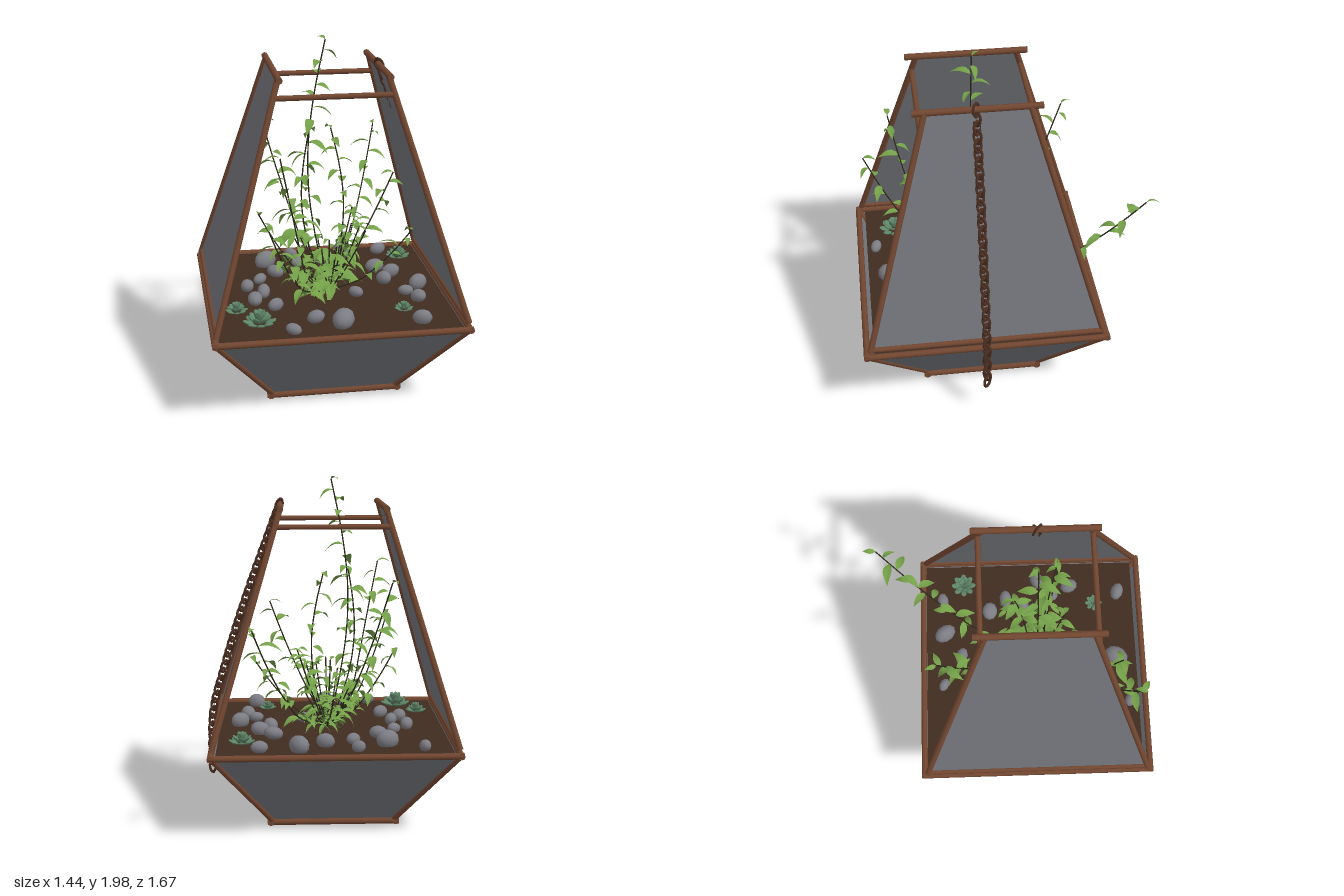
import * as THREE from 'three';
import { mergeGeometries } from 'three/addons/utils/BufferGeometryUtils.js';

const V = (x, y, z) => new THREE.Vector3(x, y, z);
const UP = V(0, 1, 0);

function material(name, color, side = THREE.FrontSide) {
  const m = new THREE.MeshStandardMaterial({ color, side });
  m.name = name;
  return m;
}

function seeded(seed) {
  return () => {
    seed = (seed * 16807) % 2147483647;
    return seed / 2147483647;
  };
}

// Copy of a geometry moved, turned (yaw, pitch, roll) and scaled
function placed(geo, pos, yaw, pitch, roll, scale) {
  const q = new THREE.Quaternion().setFromEuler(new THREE.Euler(pitch, yaw, roll, 'YXZ'));
  return geo.clone().applyMatrix4(new THREE.Matrix4().compose(pos, q, scale));
}

// Curved pointed leaf of unit length, growing towards -z and drooping
function leafGeometry() {
  const g = new THREE.PlaneGeometry(1, 1, 2, 6);
  const p = g.attributes.position;
  for (let i = 0; i < p.count; i++) {
    const u = p.getX(i) * 2, t = p.getY(i) + 0.5;
    const w = 0.21 * Math.sin(Math.PI * Math.pow(t, 0.8));
    p.setXYZ(i, u * w, 0.45 * t - 0.75 * t * t + 0.06 * Math.abs(u) * Math.sin(Math.PI * t), -t);
  }
  g.computeVertexNormals();
  return g;
}

// Vine from the shared root to a tip; a low spread runs outwards before it climbs
function vineCurve(x, y, z, spread, sway) {
  const points = [];
  for (let i = 0; i <= 5; i++) {
    const t = i / 5, out = Math.pow(t, spread);
    points.push(V(x * out + sway * Math.sin(Math.PI * t), 0.5 + (y - 0.5) * t, 0.15 + (z - 0.15) * out));
  }
  return new THREE.CatmullRomCurve3(points);
}

export function createModel() {
  const rnd = seeded(4217);
  const range = (a, b) => a + (b - a) * rnd();
  const mats = {
    frame: material('copper brown frame', 0x714630),
    glass: material('smoky grey panel', 0x727379, THREE.DoubleSide),
    soil: material('dark soil', 0x402c21),
    stone: material('grey stone', 0x7c7c84),
    chain: material('dark bronze chain', 0x4a2d20),
    leaf: material('leaf green', 0x74a048, THREE.DoubleSide),
    stem: material('dark stem', 0x2c2a1c),
    succulent: material('blue green succulent', 0x5f8769),
  };
  const model = new THREE.Group();
  model.name = 'hangingTerrarium';

  const add = (parent, name, geo, mat) => {
    const mesh = new THREE.Mesh(geo, mat);
    mesh.name = name;
    parent.add(mesh);
    return mesh;
  };

  // Planter body, slightly off centre because of the chain and trailing vine
  const body = new THREE.Group();
  body.name = 'planterBody';
  body.position.set(-0.02, 0, 0.14);
  model.add(body);

  const bar = (name, a, b, r = 0.017) => {
    const mesh = add(body, name, new THREE.CylinderGeometry(r, r, a.distanceTo(b), 10), mats.frame);
    mesh.position.copy(a).lerp(b, 0.5);
    mesh.quaternion.setFromUnitVectors(UP, b.clone().sub(a).normalize());
  };
  const panel = (name, corners) => {
    const g = new THREE.BufferGeometry().setFromPoints(corners);
    g.setIndex([0, 1, 2, 0, 2, 3]);
    g.computeVertexNormals();
    add(body, name, g, mats.glass);
  };

  // Square rings of bars at the base and the rim
  const ring = (name, y, hx, hz, over, r) => {
    for (const s of [-1, 1]) {
      bar(name, V(-hx - over, y, s * hz), V(hx + over, y, s * hz), r);
      bar(name, V(s * hx, y, -hz - over), V(s * hx, y, hz + over), r);
    }
  };
  ring('baseBar', 0.022, 0.36, 0.33, 0.02, 0.02);
  ring('rimBar', 0.5, 0.685, 0.675, 0.015, 0.018);

  for (const s of [-1, 1]) {
    for (const sz of [-1, 1]) {
      bar('lowerCornerBar', V(s * 0.35, 0.03, sz * 0.33), V(s * 0.675, 0.49, sz * 0.665));
      bar('upperCornerBar', V(s * 0.68, 0.53, sz * 0.655), V(s * 0.295, 1.82, sz * 0.28));
    }
    // Sills, rails and the sloping panels; the front and back stay open above the rim
    bar('sillBar', V(s * 0.675, 0.545, -0.66), V(s * 0.675, 0.545, 0.66), 0.016);
    bar('topRail', V(s * 0.295, 1.82, -0.345), V(s * 0.295, 1.82, 0.345), 0.018);
    bar('crossRail', V(-0.33, 1.72, s * 0.308), V(0.33, 1.72, s * 0.308), 0.015);
    panel('upperSidePanel', [V(s * 0.675, 0.545, -0.65), V(s * 0.675, 0.545, 0.65),
      V(s * 0.297, 1.81, 0.28), V(s * 0.297, 1.81, -0.28)]);
    panel('lowerSidePanel', [V(s * 0.355, 0.03, -0.33), V(s * 0.355, 0.03, 0.33),
      V(s * 0.68, 0.49, 0.67), V(s * 0.68, 0.49, -0.67)]);
    panel('lowerEndPanel', [V(-0.355, 0.03, s * 0.33), V(0.355, 0.03, s * 0.33),
      V(0.68, 0.49, s * 0.67), V(-0.68, 0.49, s * 0.67)]);
  }
  panel('basePanel', [V(-0.36, 0.02, -0.33), V(0.36, 0.02, -0.33), V(0.36, 0.02, 0.33), V(-0.36, 0.02, 0.33)]);
  const soil = add(body, 'soil', new THREE.BoxGeometry(1.32, 0.03, 1.29), mats.soil);
  soil.position.set(0, 0.485, -0.01);

  // Pebbles: a few placed by hand (x, z, size), then a row along each side
  const pebbles = [
    [-0.52, -0.41, 0.045], [-0.15, -0.41, 0.043], [-0.32, -0.3, 0.07], [-0.13, -0.25, 0.045],
    [0.03, -0.3, 0.055], [0.18, -0.4, 0.07], [0.4, -0.41, 0.05], [0.14, 0.26, 0.045],
    [0, 0.65, 0.075], [-0.14, 0.58, 0.05], [-0.28, 0.72, 0.045], [0.43, 0.68, 0.055],
  ];
  for (const side of [-1, 1]) {
    for (let i = 0; i < 6; i++) {
      pebbles.push([side * range(0.27, 0.56), -0.12 + i * 0.1, range(0.042, 0.06)]);
    }
  }
  const ball = new THREE.SphereGeometry(1, 10, 7);
  add(model, 'pebbles', mergeGeometries(pebbles.map(([x, z, s]) =>
    placed(ball, V(x, 0.515 + s * 0.3, z), range(0, 6.28), range(-0.3, 0.3), range(-0.3, 0.3),
      V(s, s * range(0.65, 0.85), s * range(0.65, 0.85))))), mats.stone);

  // Succulent rosettes: x, z, radius
  const petal = new THREE.SphereGeometry(1, 7, 5);
  for (const [x, z, r] of [[-0.45, 0.6, 0.085], [0.36, 0.53, 0.05], [-0.56, 0.42, 0.06], [0.5, -0.28, 0.07]]) {
    const petals = [];
    for (let k = 0; k < 3; k++) {
      const n = 8 - k, d = 0.72 - k * 0.26, tilt = 0.35 + k * 0.4;
      for (let i = 0; i < n; i++) {
        const a = (i / n) * Math.PI * 2 + k * 0.4;
        petals.push(placed(petal, V(x + Math.sin(a) * r * d, 0.52 + r * 0.22 * (k + 0.5), z + Math.cos(a) * r * d),
          a, -tilt, 0, V(r * 0.27, r * 0.1, r * 0.4)));
      }
    }
    add(model, 'succulent', mergeGeometries(petals), mats.succulent);
  }

  // Long vines: tip x, y, z, spread, sway
  const vines = [
    [-0.02, 1.97, 0.14, 1, -0.11], [-0.41, 1.1, 0.76, 0.5, 0], [-0.33, 1.44, 0.6, 0.4, 0.02],
    [0.43, 1.25, -0.76, 0.55, 0], [-0.33, 1.44, -0.41, 0.7, 0], [-0.12, 1.46, 0.18, 0.7, -0.08],
    [0.03, 1.44, 0.02, 0.8, 0.08], [0.34, 1.24, 0.28, 1, 0.02], [0.45, 0.9, 0.3, 0.6, 0],
    [-0.4, 0.98, 0.12, 0.6, 0],
  ].map((v) => vineCurve(...v));
  // Short bushy shoots around the roots
  for (let i = 0; i < 20; i++) {
    const a = i * 2.4, d = range(0.1, 0.34);
    vines.push(vineCurve(Math.sin(a) * d * 0.75, range(0.6, 0.95), 0.15 + Math.cos(a) * d * 1.1, 0.8, 0));
  }
  const stems = [], leaves = [], leaf = leafGeometry();
  for (const curve of vines) {
    stems.push(new THREE.TubeGeometry(curve, 20, 0.004, 5));
    const n = Math.round(curve.getLength() / 0.064);
    for (let i = 1; i <= n; i++) {
      const s = range(0.085, 0.13) * (i > n - 2 ? 0.75 : 1);
      leaves.push(placed(leaf, curve.getPointAt(i / n), i * 2.5 + range(-0.6, 0.6), range(-0.5, 0.35),
        range(-0.4, 0.4), V(s, s, s)));
    }
  }
  add(model, 'vineStems', mergeGeometries(stems), mats.stem);
  add(model, 'vineLeaves', mergeGeometries(leaves), mats.leaf);

  // Chain hanging from the top rail down the left side
  const hang = new THREE.CatmullRomCurve3([V(0.28, 1.82, 0.15), V(0.49, 1.25, 0.15),
    V(0.61, 0.87, 0.15), V(0.68, 0.6, 0.15), V(0.69, 0.26, 0.15)]);
  const link = new THREE.TorusGeometry(0.026, 0.0075, 6, 12).scale(1, 1.35, 1);
  const links = [], count = 34;
  for (let i = 0; i <= count; i++) {
    const g = link.clone().rotateY(Math.PI * (i % 2 ? 0.25 : 0.75));
    g.applyQuaternion(new THREE.Quaternion().setFromUnitVectors(UP, hang.getTangentAt(i / count).negate()));
    links.push(g.translate(...hang.getPointAt(i / count).toArray()));
  }
  add(model, 'chain', mergeGeometries(links), mats.chain);

  return model;
}
